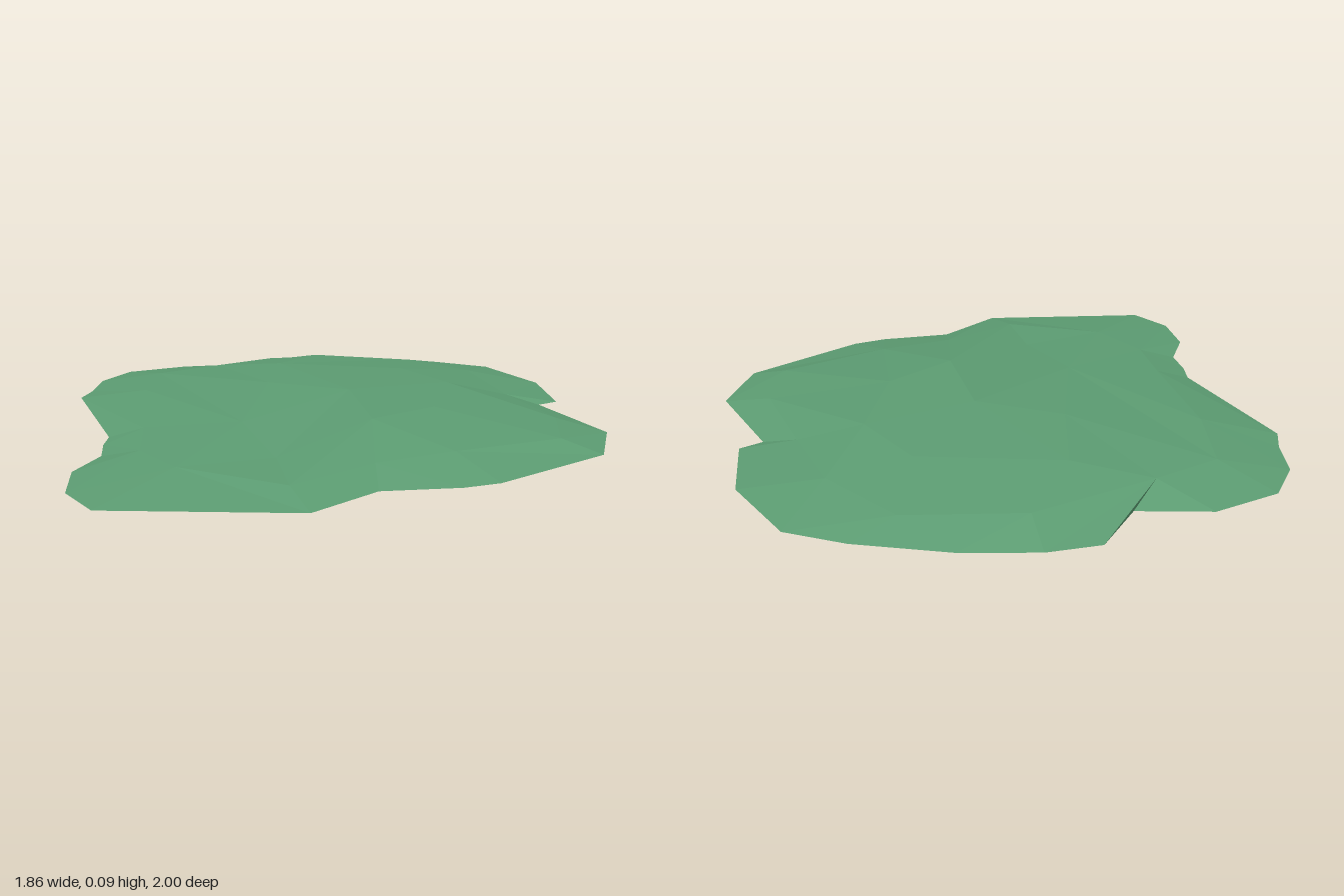
import * as THREE from 'three';

// Rings run clockwise seen from above, each point is [x, z, y]
const rim = [
  [0.17, -1], [0.43, -0.87], [0.59, -0.66], [0.555, -0.59], [0.86, -0.4], [0.93, -0.17],
  [0.78, 0.23], [0.71, 0.32], [0.53, 0.47], [0.465, 0.71], [-0.02, 1], [-0.17, 0.94],
  [-0.28, 0.8], [-0.31, 0.645], [-0.38, 0.56], [-0.42, 0.49], [-0.82, 0.19], [-0.85, 0.1],
  [-0.92, -0.03], [-0.93, -0.19], [-0.81, -0.37], [-0.61, -0.47], [-0.61, -0.67],
  [-0.49, -0.775], [-0.29, -0.88], [-0.02, -0.97],
].map(([x, z]) => [x, z, 0.02]);

const slope = [
  [0.2, -0.76, 0.06], [0.44, -0.57, 0.045], [0.7, -0.37, 0.05], [0.8, -0.16, 0.052],
  [0.6, 0.15, 0.06], [0.45, 0.35, 0.053], [0.34, 0.62, 0.045], [0, 0.68, 0.052],
  [-0.2, 0.6, 0.045], [-0.33, 0.43, 0.05], [-0.6, 0.1, 0.06], [-0.73, -0.13, 0.054],
  [-0.62, -0.33, 0.058], [-0.4, -0.67, 0.06], [-0.08, -0.83, 0.05],
];

const crown = [
  [0.03, -0.57, 0.083], [0.27, -0.46, 0.088], [0.38, -0.15, 0.09], [0.29, 0.09, 0.094],
  [0.18, 0.45, 0.048], [-0.07, 0.27, 0.072], [-0.24, -0.12, 0.09], [-0.38, -0.39, 0.085],
];

// Clockwise angles around the centre, closed with one full turn
function angles(ring) {
  const out = [];
  ring.forEach(([x, z], i) => {
    let a = Math.atan2(x, -z);
    while (i > 0 && a < out[i - 1]) a += Math.PI * 2;
    out.push(a);
  });
  out.push(out[0] + Math.PI * 2);
  return out;
}

// Facets joining an outer ring to an inner ring with a different number of points
function stitch(outer, inner) {
  const tris = [], ao = angles(outer), ai = angles(inner);
  const o = (i) => outer[i % outer.length], n = (j) => inner[j % inner.length];
  let i = 0, j = 0;
  while (i < outer.length || j < inner.length) {
    if (j === inner.length || (i < outer.length && ao[i + 1] <= ai[j + 1])) {
      tris.push(o(i), n(j), o(++i));
    } else {
      tris.push(o(i), n(j), n(++j));
    }
  }
  return tris;
}

function fan(ring, centre, up) {
  return ring.flatMap((p, i) => {
    const q = ring[(i + 1) % ring.length];
    return up ? [p, centre, q] : [p, q, centre];
  });
}

function facetMesh(name, points, material) {
  const geometry = new THREE.BufferGeometry();
  const xyz = points.flatMap(([x, z, y]) => [x, y, z]);
  geometry.setAttribute('position', new THREE.Float32BufferAttribute(xyz, 3));
  geometry.computeVertexNormals(); // unshared corners give flat facets
  const mesh = new THREE.Mesh(geometry, material);
  mesh.name = name;
  return mesh;
}

export function createModel() {
  const green = new THREE.MeshStandardMaterial({ color: 0x5c9c72 });
  green.name = 'leaf green';
  const black = new THREE.MeshStandardMaterial({ color: 0x151515 });
  black.name = 'underside black';

  const group = new THREE.Group();
  group.name = 'lowMound';

  // Faceted upper surface
  const top = [
    ...stitch(rim, slope),
    ...stitch(slope, crown),
    ...fan(crown, [0.05, -0.17, 0.095], true),
  ];
  group.add(facetMesh('moundTop', top, green));

  // Shallow underside
  group.add(facetMesh('moundUnderside', fan(rim, [0, 0, 0], false), black));
  return group;
}
